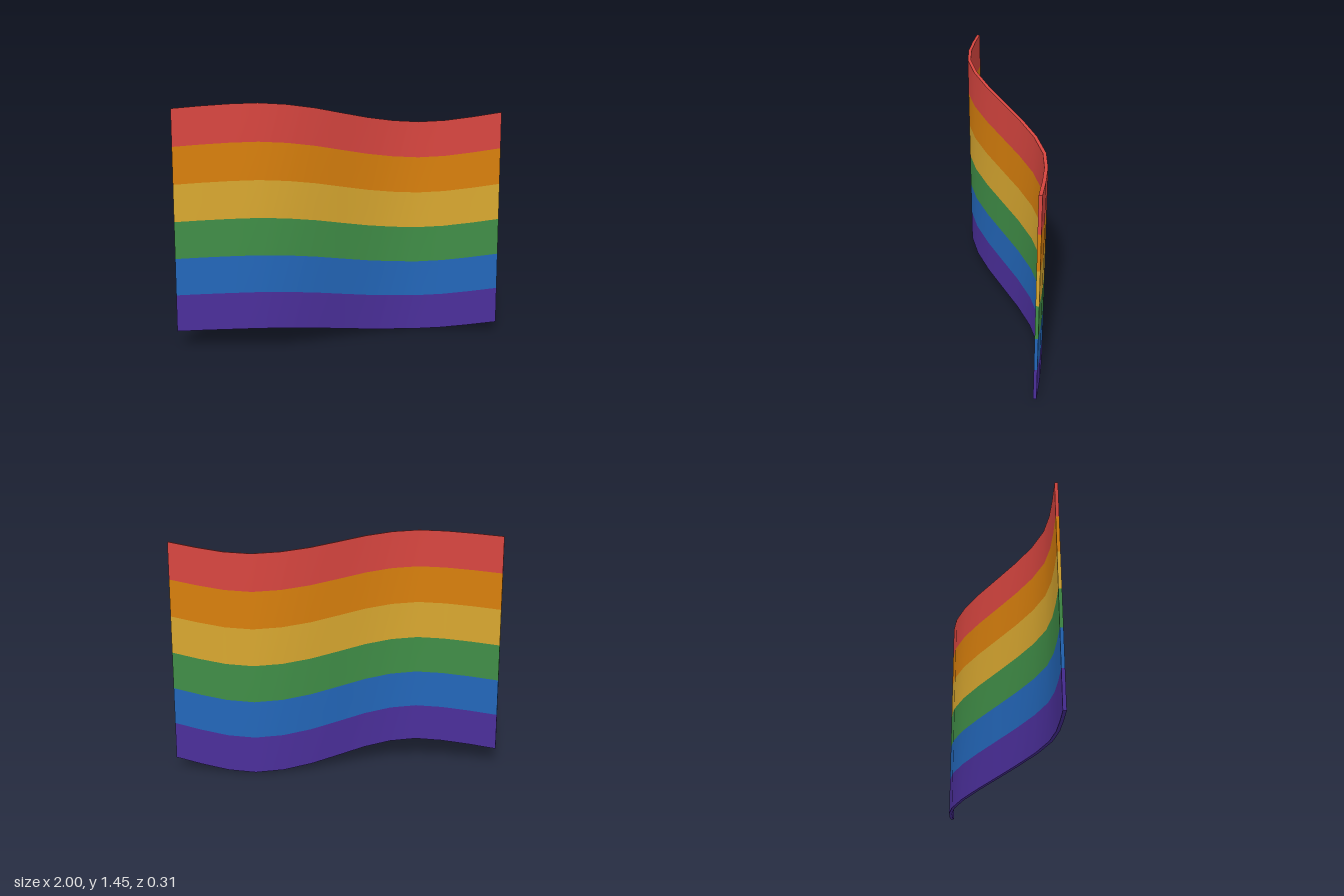
import * as THREE from 'three';
import { mergeGeometries } from 'three/addons/utils/BufferGeometryUtils.js';

// Centre line of the waving cloth: x, z, rise of the lower edge
const WAVE = [
  [-0.998, 0.037, 0.085], [-0.832, 0.084, 0.100], [-0.665, 0.125, 0.112], [-0.5, 0.146, 0.118],
  [-0.333, 0.126, 0.109], [-0.167, 0.073, 0.088], [0, 0, 0.058], [0.167, -0.073, 0.029],
  [0.333, -0.126, 0.009], [0.5, -0.146, 0], [0.665, -0.125, 0.009], [0.832, -0.084, 0.032], [0.998, -0.037, 0.060],
];
const HALF_THICKNESS = 0.0095;
const HEIGHT = 1.329;
const STRIPES = [
  ['purple', 0x4b2f9b], ['blue', 0x2367ba], ['green', 0x408e47],
  ['yellow', 0xd9a830], ['orange', 0xd9800d], ['red', 0xd94640],
];

// One edge of the cloth at a given height; side is +1 for the front, -1 for the back
function edge(height, side) {
  return WAVE.map(([x, z, rise], i) => {
    const a = WAVE[Math.max(i - 1, 0)];
    const b = WAVE[Math.min(i + 1, WAVE.length - 1)];
    const dx = b[0] - a[0], dz = b[1] - a[1];
    const k = (side * HALF_THICKNESS) / Math.hypot(dx, dz);
    return new THREE.Vector3(x - dz * k, rise + height, z + dx * k);
  });
}

// Smooth strip between a lower and an upper row of points
function strip(lower, upper) {
  const n = lower.length;
  const index = [];
  for (let i = 0; i < n - 1; i++) {
    index.push(i, i + 1, n + i + 1, i, n + i + 1, n + i);
  }
  const geometry = new THREE.BufferGeometry().setFromPoints([...lower, ...upper]);
  geometry.setIndex(index);
  geometry.computeVertexNormals();
  return geometry;
}

export function createModel() {
  const flag = new THREE.Group();
  flag.name = 'wavingFlag';
  const step = HEIGHT / STRIPES.length;
  const last = WAVE.length - 1;

  STRIPES.forEach(([name, color], i) => {
    const [frontLow, backLow] = [1, -1].map((side) => edge(i * step, side));
    const [frontHigh, backHigh] = [1, -1].map((side) => edge((i + 1) * step, side));
    const faces = [
      // Front and back of the cloth
      strip(frontLow, frontHigh),
      strip([...backLow].reverse(), [...backHigh].reverse()),
      // Narrow ends
      strip([frontLow[last], backLow[last]], [frontHigh[last], backHigh[last]]),
      strip([backLow[0], frontLow[0]], [backHigh[0], frontHigh[0]]),
    ];
    // Hems at the very bottom and top
    if (i === 0) faces.push(strip(backLow, frontLow));
    if (i === STRIPES.length - 1) faces.push(strip(frontHigh, backHigh));

    const material = new THREE.MeshStandardMaterial({ color });
    material.name = name;
    const mesh = new THREE.Mesh(mergeGeometries(faces), material);
    mesh.name = name + 'Stripe';
    flag.add(mesh);
  });
  return flag;
}
